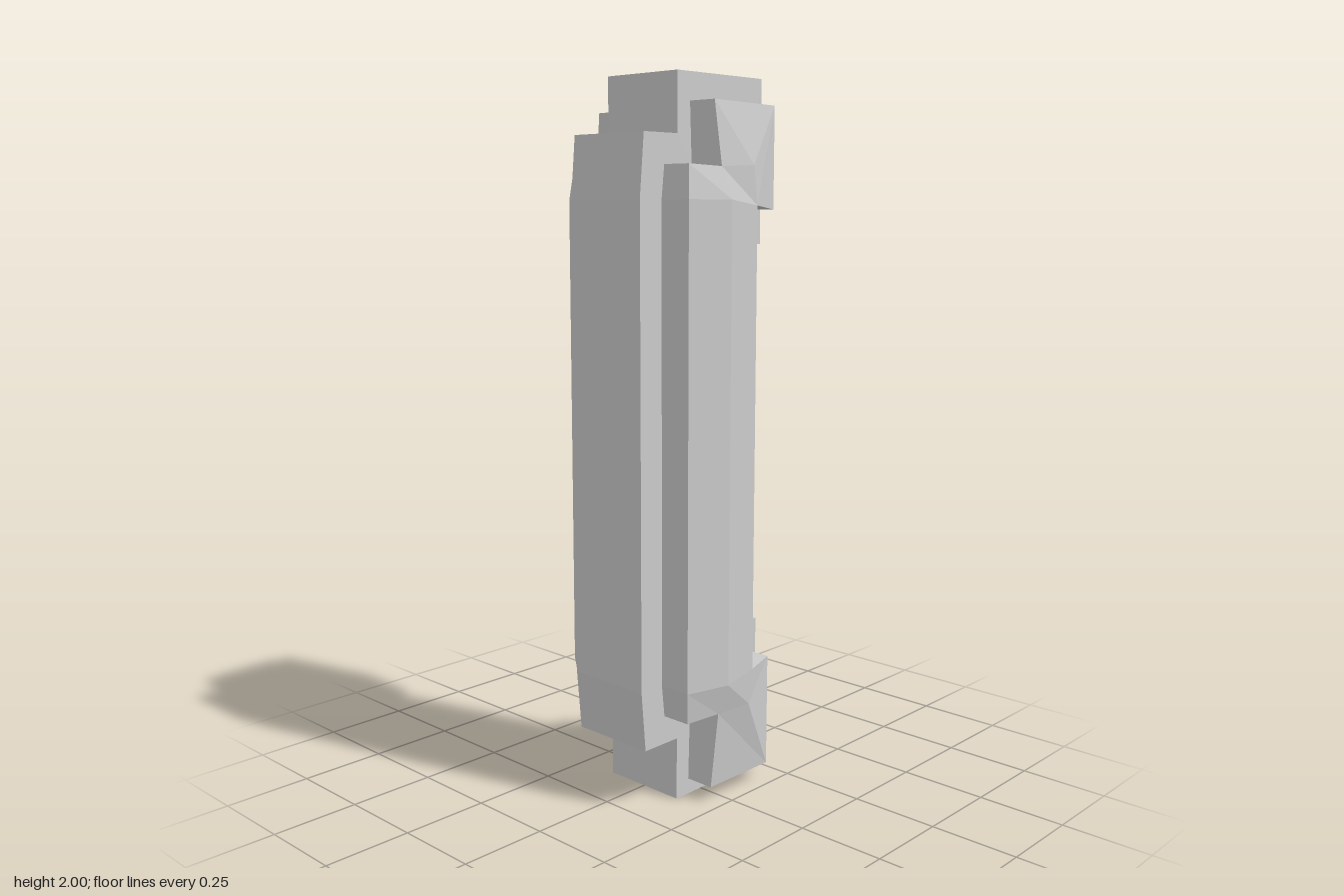
import * as THREE from 'three';

const material = new THREE.MeshStandardMaterial({ color: 0xcccccc, flatShading: true });
const HALF_WIDTH = 0.129;

// C-shaped grip: a [z, y] profile extruded across x
function makeGrip() {
  const profile = [
    [0.1, 0], [0.1, 0.18], [0.225, 0.18], [0.24, 0.35], [0.24, 1.67], [0.225, 1.84], [0.1, 1.84],
    [0.1, 2], [-0.24, 2], [-0.24, 1.55], [-0.13, 1.55], [-0.13, 0.455], [-0.24, 0.455], [-0.24, 0],
  ];
  const shape = new THREE.Shape(profile.map(([z, y]) => new THREE.Vector2(z, y)));
  const geometry = new THREE.ExtrudeGeometry(shape, { depth: 2 * HALF_WIDTH, bevelEnabled: false });
  geometry.rotateY(-Math.PI / 2).translate(HALF_WIDTH, 0, 0);
  return new THREE.Mesh(geometry, material);
}

// Faceted cheek on one side: outline corners and ridge corners as [x, y, z]
function makeCheek(side, top, bottom, back) {
  const p = {
    A: [0.215, top, 0.052], B: [0.225, top - 0.005, back],
    C: [0.225, 1.645, back], D: [0.256, 1.655, -0.075],
    E: [0.256, 0.37, -0.075], F: [0.225, 0.375, back],
    G: [0.225, bottom + 0.005, back], H: [0.215, bottom, 0.052],
    I: [0.235, 0.265, 0.045], J: [0.215, 0.26, 0.15],
    M: [0.225, 0.35, 0.16], N: [0.225, 1.67, 0.16],
    K: [0.215, 1.76, 0.15], L: [0.235, 1.755, 0.045],
    P: [0.252, 1.76, -0.065], Q: [0.258, 1.67, 0.03],
    R: [0.258, 0.35, 0.03], S: [0.252, 0.27, -0.065],
  };
  const faces = ['ABPL', 'BCDP', 'LPDQ', 'KLQN', 'NQRM', 'DERQ', 'MRIJ', 'RESI', 'SEFG', 'ISGH']
    .map((names) => [...names].map((n) => p[n]));

  // Side walls run from the outline in to the grip
  const outline = [...'ABCDEFGHIJMNKL'].map((n) => p[n]);
  const inner = ([, y, z]) => [HALF_WIDTH - 0.01, y, z];
  outline.forEach((a, i) => {
    const b = outline[(i + 1) % outline.length];
    faces.push([a, inner(a), inner(b), b]);
  });

  const positions = [];
  for (const [a, b, c, d] of faces) {
    const corners = side > 0 ? [a, c, b, a, d, c] : [a, b, c, a, c, d];
    for (const [x, y, z] of corners) positions.push(side * x, y, z);
  }
  const geometry = new THREE.BufferGeometry();
  geometry.setAttribute('position', new THREE.Float32BufferAttribute(positions, 3));
  geometry.computeVertexNormals();
  return new THREE.Mesh(geometry, material);
}

export function createModel() {
  const model = new THREE.Group();
  model.name = 'handle';
  const grip = makeGrip();
  grip.name = 'grip';
  const left = makeCheek(1, 1.925, 0.045, -0.18);
  left.name = 'leftCheek';
  const right = makeCheek(-1, 1.91, 0.095, -0.165);
  right.name = 'rightCheek';
  model.add(grip, left, right);
  return model;
}
